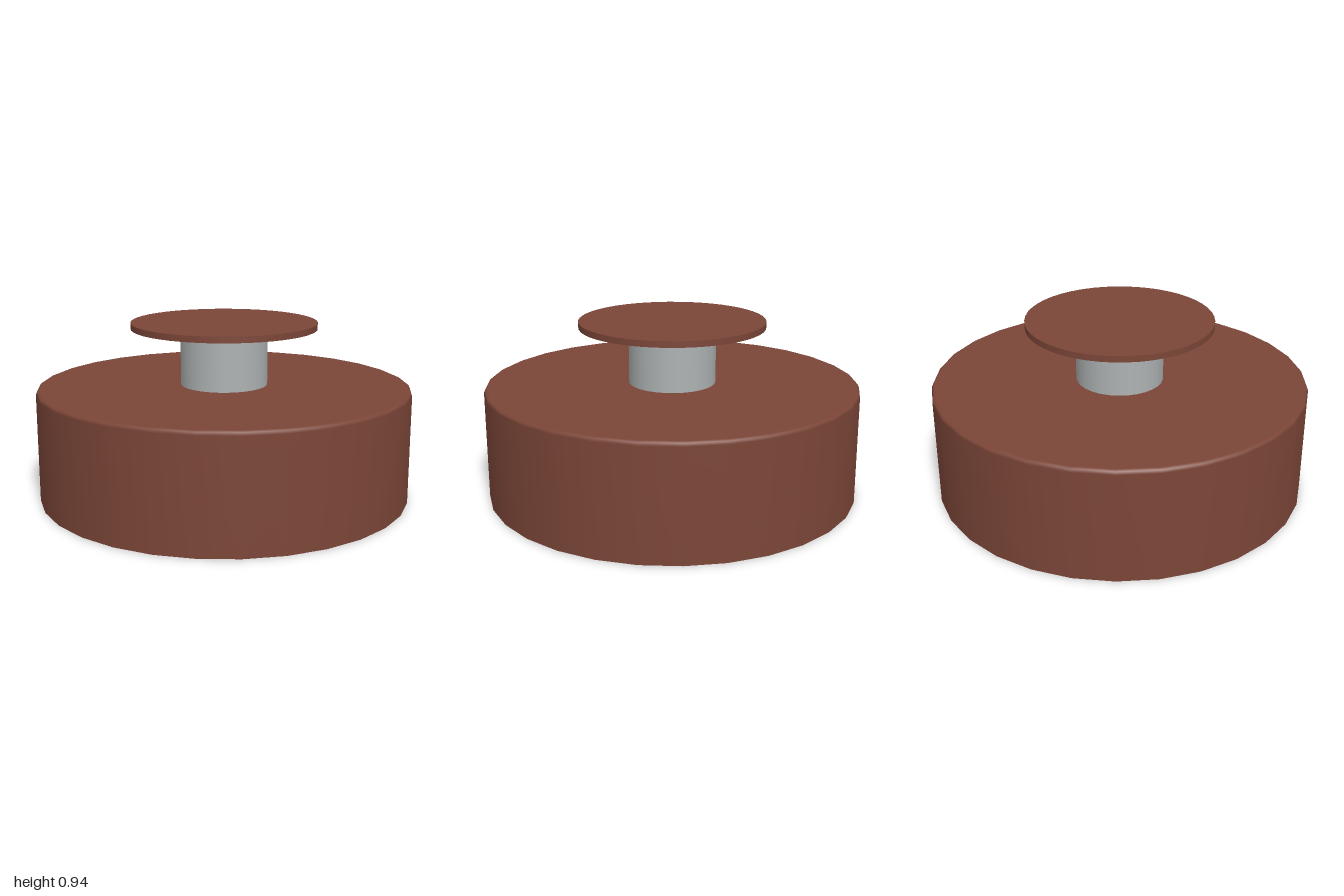
import * as THREE from 'three';

export function createModel() {
  const model = new THREE.Group();
  const brown = new THREE.MeshStandardMaterial({ name: 'brown', color: 0x7c4638 });
  const grey = new THREE.MeshStandardMaterial({ name: 'grey', color: 0xaeb2b2 });

  const add = (name, geometry, material, y = 0) => {
    const mesh = new THREE.Mesh(geometry, material);
    mesh.name = name;
    mesh.position.y = y;
    model.add(mesh);
    return mesh;
  };

  // Upright cylinder with a vertex on the x axis
  const cylinder = (name, radius, y0, y1, sides, material) =>
    add(name, new THREE.CylinderGeometry(radius, radius, y1 - y0, sides, 1, false, Math.PI / 2),
      material, (y0 + y1) / 2);

  // Wide drum with a softened upper rim
  const profile = [[1, 0], [1, 0.58], [0.994, 0.594], [0.98, 0.6], [0, 0.6]]
    .map(([r, y]) => new THREE.Vector2(r, y));
  add('base', new THREE.LatheGeometry(profile, 30, Math.PI / 2), brown);

  // Flat underside
  add('baseUnderside', new THREE.CircleGeometry(1, 30).rotateX(Math.PI / 2), brown);

  // Metal stem and thin cap
  cylinder('stem', 0.233, 0.59, 0.905, 30, grey);
  cylinder('cap', 0.497, 0.904, 0.937, 48, brown);

  return model;
}
